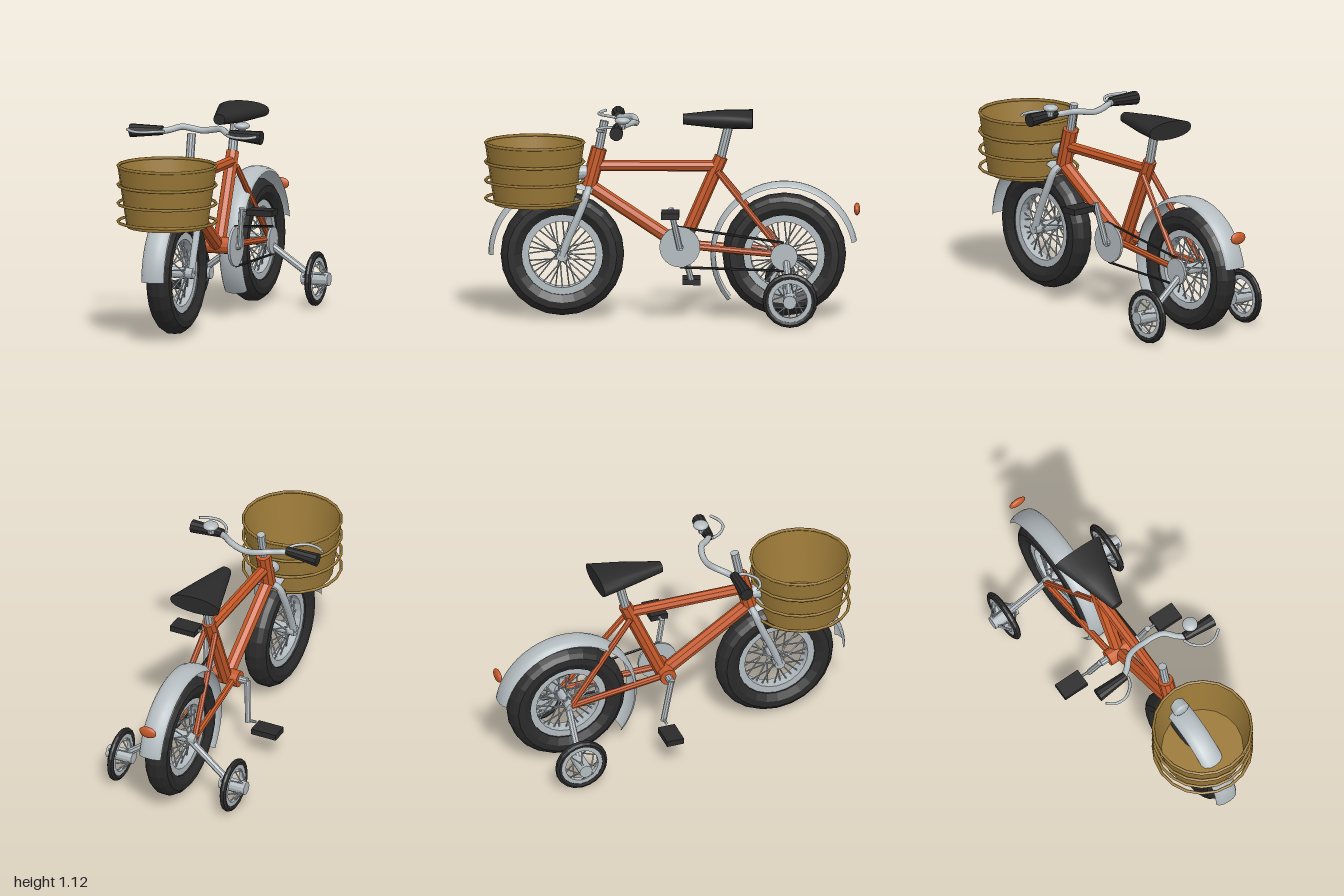
import * as THREE from 'three';

const mat = (name, color, double) => {
  const m = new THREE.MeshStandardMaterial({ color });
  m.name = name;
  if (double) m.side = THREE.DoubleSide;
  return m;
};

export function createModel() {
  const orange = mat('orange paint', 0xc85a2a);
  const metal = mat('silver metal', 0xb4bcc0, true);
  const black = mat('black rubber', 0x2a2a2a);
  const wicker = mat('tan basket', 0x9c7a38, true);

  const model = new THREE.Group();
  model.name = 'bicycle';
  const V = (x, y, z) => new THREE.Vector3(x, y, z);

  const add = (name, geo, material, parent = model, pos = [0, 0, 0]) => {
    const mesh = new THREE.Mesh(geo, material);
    mesh.name = name;
    mesh.position.set(...pos);
    parent.add(mesh);
    return mesh;
  };
  const faceted = (geo) => {
    const g = geo.toNonIndexed();
    g.computeVertexNormals();
    return g;
  };
  // Straight tube between two points, optionally tapered
  const rod = (name, a, b, r, material, parent = model, sides = 8, r2 = r) => {
    const p = V(...a), q = V(...b), d = q.clone().sub(p);
    const geo = faceted(new THREE.CylinderGeometry(r2, r, d.length(), sides));
    const mesh = add(name, geo, material, parent);
    mesh.position.copy(p).add(q).multiplyScalar(0.5);
    mesh.quaternion.setFromUnitVectors(V(0, 1, 0), d.normalize());
    return mesh;
  };
  const bentTube = (name, pts, r, material, parent = model) =>
    add(name, new THREE.TubeGeometry(new THREE.CatmullRomCurve3(pts.map((p) => V(...p))), 24, r, 8), material, parent);
  // Profile of [radius, x] turned around the x axis
  const turned = (pts, segs, start, length) =>
    new THREE.LatheGeometry(pts.map(([r, x]) => new THREE.Vector2(r, x)), segs, start, length).rotateZ(-Math.PI / 2);

  // Wheel with tyre, rim, hub and spokes
  const wheel = (name, pos, o) => {
    const g = new THREE.Group();
    g.name = name;
    g.position.set(...pos);
    model.add(g);
    add('tyre', faceted(turned(o.tyre, o.segs)), black, g);
    const [r0, r1, w] = o.rim;
    add('rim', faceted(turned([[r0, -w], [r1, -w], [r1, w], [r0, w], [r0, -w]], o.segs)), metal, g);
    rod('hub', [-o.hubLength / 2, 0, 0], [o.hubLength / 2, 0, 0], o.hubRadius, metal, g, 12);
    for (let i = 0; i < o.spokes; i++) {
      const a = (i / o.spokes) * Math.PI * 2;
      const b = a + (i % 4 < 2 ? 0.5 : -0.5);
      const side = i % 2 ? 1 : -1;
      rod('spoke', [side * o.spread, Math.sin(b) * o.hubRadius, Math.cos(b) * o.hubRadius],
        [0, Math.sin(a) * (r0 + 0.01), Math.cos(a) * (r0 + 0.01)], o.spokeRadius, metal, g, 5);
    }
  };
  const big = {
    tyre: [[0.215, -0.045], [0.255, -0.066], [0.29, -0.064], [0.313, -0.045], [0.327, -0.02], [0.327, 0.02],
      [0.313, 0.045], [0.29, 0.064], [0.255, 0.066], [0.215, 0.045], [0.215, -0.045]],
    segs: 24, rim: [0.178, 0.22, 0.036], hubLength: 0.19, hubRadius: 0.03, spokes: 32, spread: 0.055, spokeRadius: 0.004,
  };
  const small = {
    tyre: [[0.115, -0.014], [0.13, -0.018], [0.143, -0.01], [0.146, 0], [0.143, 0.01], [0.13, 0.018], [0.115, 0.014], [0.115, -0.014]],
    segs: 20, rim: [0.092, 0.118, 0.012], hubLength: 0.15, hubRadius: 0.036, spokes: 16, spread: 0.06, spokeRadius: 0.004,
  };
  const FZ = 0.58, RZ = -0.595, WY = 0.353;
  wheel('frontWheel', [0, WY, FZ], big);
  wheel('rearWheel', [0, WY, RZ], big);

  // Mudguards: arched strip swept from angle a to b (0 = forward, 90 = up)
  const mudguard = (name, z, a, b) => {
    const rad = Math.PI / 180;
    const section = [[0.365, -0.064], [0.38, -0.054], [0.389, -0.03], [0.392, 0], [0.389, 0.03], [0.38, 0.054], [0.365, 0.064]];
    add(name, turned(section, 28, -b * rad, (b - a) * rad), metal, model, [0, WY, z]);
  };
  mudguard('frontMudguard', FZ, 0, 115);
  mudguard('rearMudguard', RZ, -39, 169);
  add('rearReflector', new THREE.SphereGeometry(1, 14, 10).scale(0.05, 0.033, 0.017), orange, model, [0, 0.595, -0.98]);

  // Frame
  const crankY = 0.405, crankZ = -0.043;
  rod('headTube', [0, 0.7, 0.445], [0, 0.92, 0.385], 0.042, orange, model, 10);
  rod('topTube', [0, 0.825, 0.4], [0, 0.825, -0.235], 0.03, orange);
  rod('downTube', [0, 0.715, 0.43], [0, 0.415, -0.02], 0.036, orange);
  rod('seatTube', [0, 0.4, -0.055], [0, 0.875, -0.262], 0.036, orange);
  rod('crankShell', [-0.075, crankY, crankZ], [0.075, crankY, crankZ], 0.045, orange, model, 12);
  for (const s of [1, -1]) {
    rod('chainStay', [s * 0.045, crankY, -0.05], [s * 0.085, 0.36, RZ], 0.018, orange);
    rod('seatStay', [s * 0.03, 0.8, -0.24], [s * 0.085, 0.36, RZ], 0.016, orange);
  }

  // Front fork
  for (const s of [1, -1]) {
    bentTube('forkLeg', [[s * 0.082, WY, FZ], [s * 0.082, 0.43, 0.553], [s * 0.078, 0.6, 0.48],
      [s * 0.058, 0.69, 0.448], [0, 0.715, 0.44]], 0.02, metal);
  }

  // Stem, handlebar, grips, brake levers and bell
  rod('stem', [0, 0.9, 0.39], [0, 1.065, 0.357], 0.023, metal, model, 10);
  const bar = [[0.2, 1.053, 0.285], [0.16, 1.06, 0.258], [0.11, 1.072, 0.21], [0.05, 1.062, 0.192]];
  bentTube('handlebar', [...bar.map(([x, y, z]) => [-x, y, z]), [0, 1.055, 0.19], ...bar.reverse()], 0.017, metal);
  for (const s of [1, -1]) {
    rod('grip', [s * 0.19, 1.059, 0.285], [s * 0.37, 1.05, 0.29], 0.025, black, model, 10, 0.037);
    bentTube('brakeLever', [[s * 0.18, 1.055, 0.3], [s * 0.2, 1.06, 0.345], [s * 0.26, 1.06, 0.388],
      [s * 0.32, 1.06, 0.385], [s * 0.365, 1.065, 0.355]], 0.008, metal);
  }
  rod('bellBase', [0.248, 1.06, 0.265], [0.248, 1.095, 0.26], 0.02, metal, model, 10);
  add('bell', new THREE.SphereGeometry(1, 16, 10).scale(0.042, 0.02, 0.042), metal, model, [0.248, 1.104, 0.258]);

  // Seat: rounded section widening toward the back
  rod('seatPost', [0, 0.86, -0.256], [0, 1.05, -0.303], 0.025, metal, model, 10);
  const seat = new THREE.CylinderGeometry(1, 1, 1, 20, 8).rotateX(Math.PI / 2);
  const p = seat.attributes.position;
  for (let i = 0; i < p.count; i++) {
    const t = 0.5 - p.getZ(i);
    const halfWidth = 0.032 + 0.113 * t;
    const halfHeight = 0.028 + 0.02 * Math.min(1, t * 1.8);
    const ySquare = Math.sign(p.getY(i)) * Math.pow(Math.abs(p.getY(i)), 0.8);
    p.setXYZ(i, p.getX(i) * halfWidth, 1.075 + ySquare * halfHeight, -0.058 - 0.37 * t);
  }
  seat.computeVertexNormals();
  add('seat', seat, black);

  // Cranks, chainring, sprocket and chain
  rod('chainring', [0.093, crankY, crankZ], [0.107, crankY, crankZ], 0.108, metal, model, 24);
  rod('axle', [-0.12, crankY, crankZ], [0.125, crankY, crankZ], 0.02, metal, model, 10);
  rod('sprocket', [0.092, WY, RZ], [0.106, WY, RZ], 0.072, metal, model, 20);
  rod('chainTop', [0.1, 0.513, -0.03], [0.1, 0.428, RZ], 0.007, black, model, 6);
  rod('chainBottom', [0.1, 0.296, -0.045], [0.1, 0.279, RZ], 0.007, black, model, 6);
  for (const s of [1, -1]) {
    const pz = s > 0 ? 0.005 : -0.1, py = crankY + s * 0.215;
    rod('crank', [s * 0.12, crankY - s * 0.005, crankZ], [s * 0.152, py, pz], 0.016, metal);
    rod('pedalAxle', [s * 0.15, py - s * 0.01, pz], [s * 0.2, py - s * 0.015, pz], 0.008, metal);
    add('pedal', new THREE.BoxGeometry(0.145, 0.032, 0.095), black, model, [s * 0.267, s > 0 ? 0.604 : 0.17, pz]);
  }

  // Training wheels on angled struts
  for (const s of [1, -1]) {
    wheel('trainingWheel', [s * 0.333, 0.155, -0.63], small);
    rod('trainingStrut', [s * 0.07, 0.34, -0.605], [s * 0.31, 0.165, -0.63], 0.019, metal);
  }

  // Basket with hoops, and the lamp behind it
  const basket = new THREE.Group();
  basket.name = 'basket';
  basket.position.z = 0.727;
  model.add(basket);
  const wall = [[0.215, 0.62], [0.265, 0.955]].map(([r, y]) => new THREE.Vector2(r, y));
  add('basketWall', new THREE.LatheGeometry(wall, 20), wicker, basket);
  add('basketFloor', new THREE.CircleGeometry(0.217, 20).rotateX(-Math.PI / 2), wicker, basket, [0, 0.638, 0]);
  for (const y of [0.948, 0.846, 0.747, 0.65]) {
    add('basketHoop', new THREE.TorusGeometry(0.261, 0.008, 6, 20).rotateX(Math.PI / 2), wicker, basket, [0, y, 0]);
  }
  rod('lamp', [0, 0.79, 0.45], [0, 0.79, 0.53], 0.035, metal, model, 14, 0.048);
  add('lampLens', new THREE.SphereGeometry(1, 14, 10).scale(0.048, 0.048, 0.022), metal, model, [0, 0.79, 0.53]);

  return model;
}
